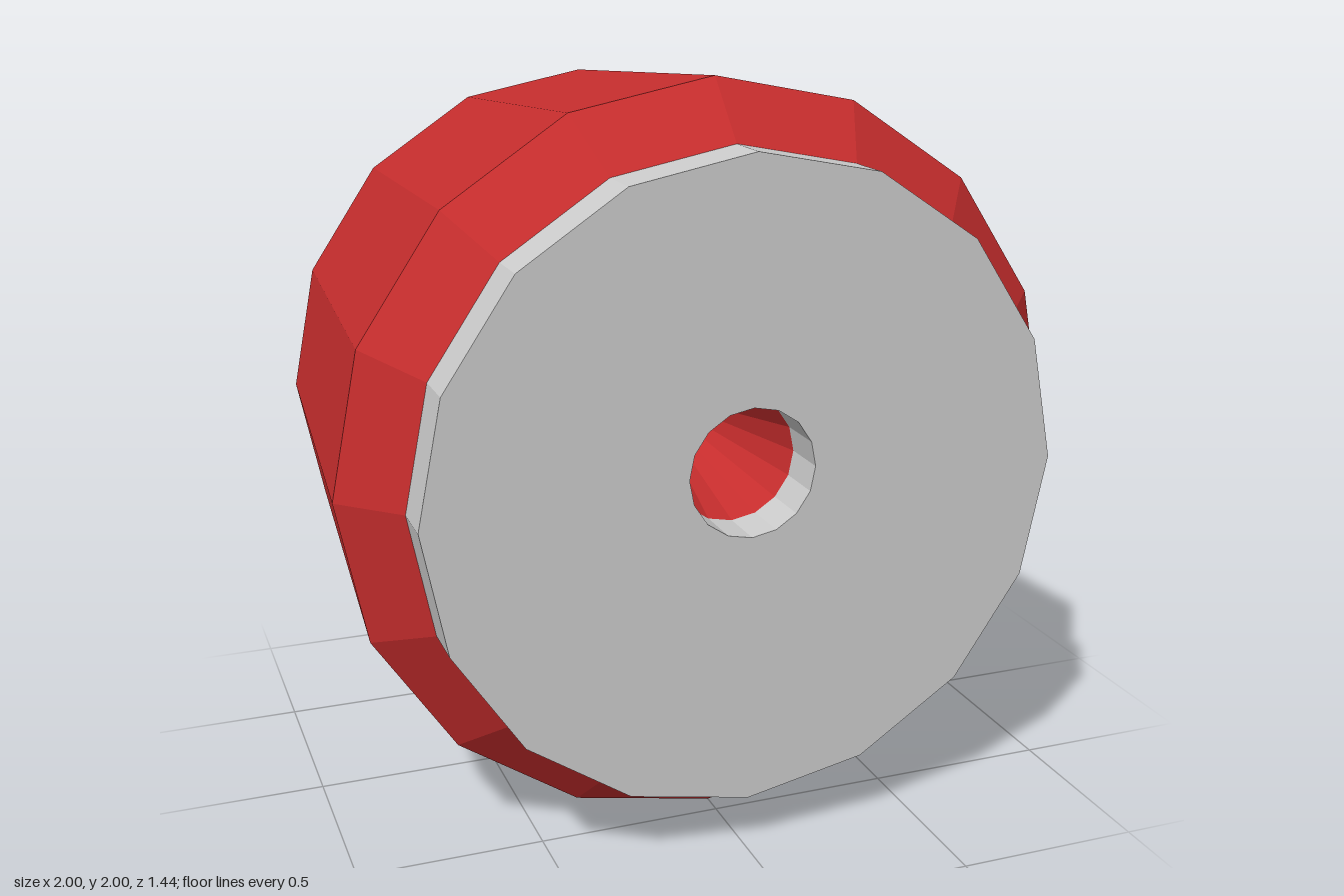
import * as THREE from 'three';

const SIDES = 16;
const AXIS_Y = 1;      // centre of the outer shell
const BORE_Y = 1.05;   // the bore sits slightly higher

// Closed faceted loft through rings [radius, z, centreY], running front to back on the outside.
function loftLoop(rings) {
  const point = ([r, z, cy], i) => {
    const a = Math.PI / 2 + (i % SIDES) * 2 * Math.PI / SIDES;
    return [r * Math.cos(a), cy + r * Math.sin(a), z];
  };
  const positions = [];
  rings.forEach((ring, k) => {
    const next = rings[(k + 1) % rings.length];
    for (let i = 0; i < SIDES; i++) {
      const a = point(ring, i), b = point(ring, i + 1);
      const c = point(next, i), d = point(next, i + 1);
      positions.push(...a, ...c, ...b, ...b, ...c, ...d);
    }
  });
  const geometry = new THREE.BufferGeometry();
  geometry.setAttribute('position', new THREE.Float32BufferAttribute(positions, 3));
  geometry.computeVertexNormals();
  return geometry;
}

function part(name, color, rings) {
  const material = new THREE.MeshStandardMaterial({ color, flatShading: true });
  const mesh = new THREE.Mesh(loftLoop(rings), material);
  mesh.name = name;
  return mesh;
}

export function createModel() {
  const model = new THREE.Group();
  model.name = 'bumper';

  // Tapered body with bevelled ends and a bore pinched in the middle
  model.add(part('body', 0xc62d2d, [
    [0.85, 0.585, AXIS_Y],
    [1.0, 0.44, AXIS_Y],
    [0.91, -0.67, AXIS_Y],
    [0.855, -0.72, AXIS_Y],
    [0.17, -0.72, BORE_Y],
    [0.12, -0.64, BORE_Y],
    [0.025, 0, BORE_Y],
    [0.17, 0.585, BORE_Y],
  ]));

  // Flat front disc with a straight hole
  model.add(part('frontDisc', 0xcccccc, [
    [0.85, 0.72, AXIS_Y],
    [0.85, 0.585, AXIS_Y],
    [0.17, 0.585, BORE_Y],
    [0.17, 0.72, BORE_Y],
  ]));

  return model;
}
